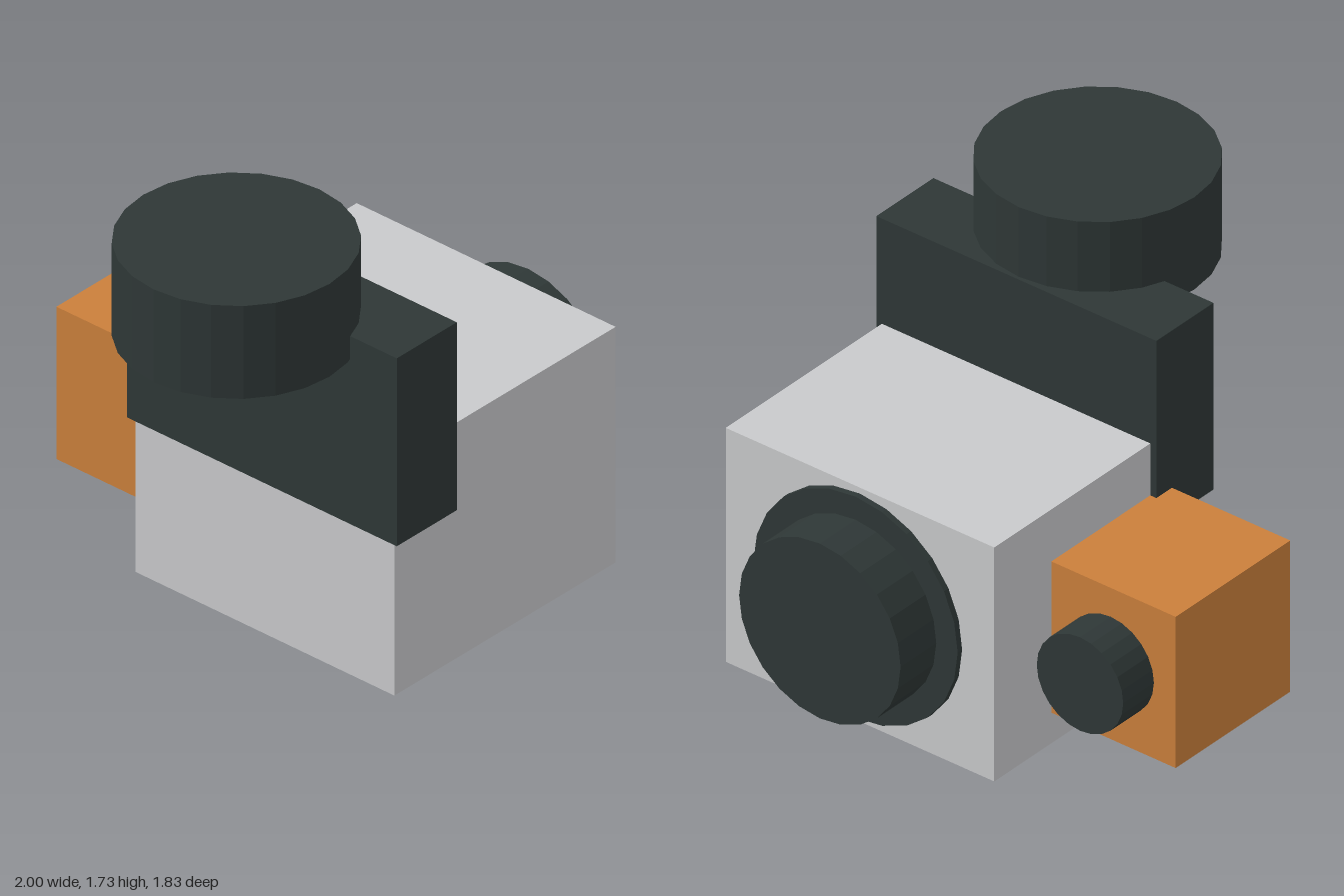
import * as THREE from 'three';

const material = (name, color) => {
  const m = new THREE.MeshStandardMaterial({ color, flatShading: true });
  m.name = name;
  return m;
};

export function createModel() {
  const model = new THREE.Group();
  const grey = material('lightGrey', 0xc8c9cb);
  const dark = material('charcoal', 0x2e3736);
  const orange = material('orange', 0xca7f3b);

  const add = (name, geometry, mat) => {
    const mesh = new THREE.Mesh(geometry, mat);
    mesh.name = name;
    model.add(mesh);
    return mesh;
  };

  // Box given by its lowest and highest corners
  const box = (name, mat, [x0, y0, z0], [x1, y1, z1]) =>
    add(name, new THREE.BoxGeometry(x1 - x0, y1 - y0, z1 - z0), mat)
      .position.set((x0 + x1) / 2, (y0 + y1) / 2, (z0 + z1) / 2);

  // Round part lying along x, from x0 to x1
  const sideDisc = (name, radius, x0, x1, y, z) => {
    const geometry = new THREE.CylinderGeometry(radius, radius, x1 - x0, 24).rotateZ(-Math.PI / 2);
    add(name, geometry, dark).position.set((x0 + x1) / 2, y, z);
  };

  // Main block and the bracket over its right top edge
  box('body', grey, [-0.405, 0, -0.345], [0.775, 0.99, 0.885]);
  box('bracket', dark, [-0.42, 0.645, -0.373], [-0.1, 1.435, 0.91]);

  // Upright drum resting in the bracket
  add('topDrum', new THREE.CylinderGeometry(0.443, 0.443, 0.39, 24), dark)
    .position.set(-0.557, 1.535, 0.27);

  // Flange and knob on the left side
  sideDisc('flange', 0.468, 0.7, 0.8, 0.497, 0.27);
  sideDisc('knob', 0.37, 0.7, 1, 0.497, 0.27);

  // Rear block with its small knob
  box('rearBlock', orange, [-0.187, 0.13, -0.915], [0.455, 0.77, -0.3]);
  sideDisc('rearKnob', 0.198, 0.4, 0.627, 0.45, -0.617);

  return model;
}
